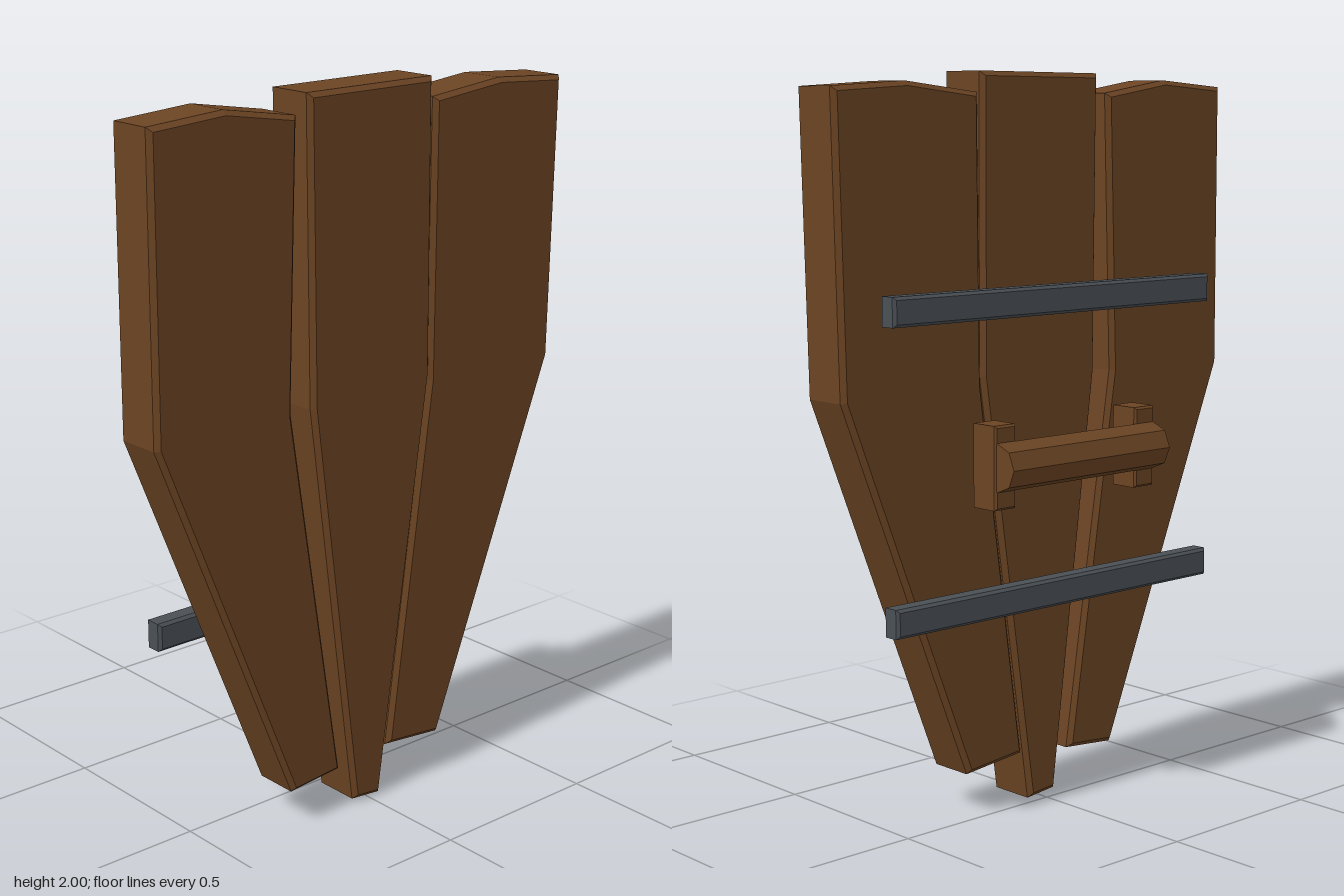
import * as THREE from 'three';

const wood = new THREE.MeshStandardMaterial({ color: 0x6b4423, flatShading: true });
const metal = new THREE.MeshStandardMaterial({ color: 0x4a4f55, flatShading: true });

// Chamfered slab: counter-clockwise outline in x/y, spanning z0..z1
function slab(name, outline, z0, z1, bevel, material) {
  const shape = new THREE.Shape(outline.map(([x, y]) => new THREE.Vector2(x, y)));
  const geometry = new THREE.ExtrudeGeometry(shape, {
    depth: z1 - z0 - 2 * bevel,
    bevelEnabled: true,
    bevelSegments: 1,
    bevelThickness: bevel,
    bevelSize: bevel,
    bevelOffset: -bevel,
  });
  geometry.translate(0, 0, z0 + bevel);
  const mesh = new THREE.Mesh(geometry, material);
  mesh.name = name;
  return mesh;
}

const rect = (x0, x1, y0, y1) => [[x0, y0], [x1, y0], [x1, y1], [x0, y1]];

export function createModel() {
  const model = new THREE.Group();
  model.name = 'plankShield';

  // Three tapering planks, each slightly uneven
  model.add(
    slab('rightPlank', [
      [-0.27, 0.105], [-0.10, 0.12], [-0.265, 1.18], [-0.243, 1.945],
      [-0.47, 1.982], [-0.70, 1.965], [-0.70, 1.17],
    ], 0.015, 0.167, 0.013, wood),
    slab('middlePlank', [
      [-0.055, 0.013], [0.043, 0.003], [0.213, 1.2], [0.21, 2.0],
      [-0.215, 1.998], [-0.205, 1.18],
    ], 0.02, 0.175, 0.013, wood),
    slab('leftPlank', [
      [0.07, 0.14], [0.267, 0.12], [0.677, 1.17], [0.695, 1.957],
      [0.46, 1.972], [0.218, 1.945], [0.212, 1.18],
    ], 0.02, 0.172, 0.013, wood),
  );

  // Metal cross bars on the back
  for (const [name, y] of [['lowerBar', 0.598], ['upperBar', 1.398]]) {
    model.add(slab(name, rect(-0.59, 0.567, y - 0.039, y + 0.039), -0.05, 0.007, 0.008, metal));
  }

  // Grip: two mounting blocks and an eight-sided handle
  const grip = new THREE.Group();
  grip.name = 'grip';
  for (const [name, x] of [['rightMount', -0.268], ['leftMount', 0.248]]) {
    grip.add(slab(name, rect(x - 0.037, x + 0.037, 0.866, 1.09), -0.11, -0.018, 0.006, wood));
  }
  const handleGeometry = new THREE.CylinderGeometry(0.065, 0.065, 0.58, 8);
  handleGeometry.rotateZ(Math.PI / 2);
  const handle = new THREE.Mesh(handleGeometry, wood);
  handle.name = 'handle';
  handle.position.set(-0.01, 0.98, -0.111);
  grip.add(handle);
  model.add(grip);

  return model;
}
